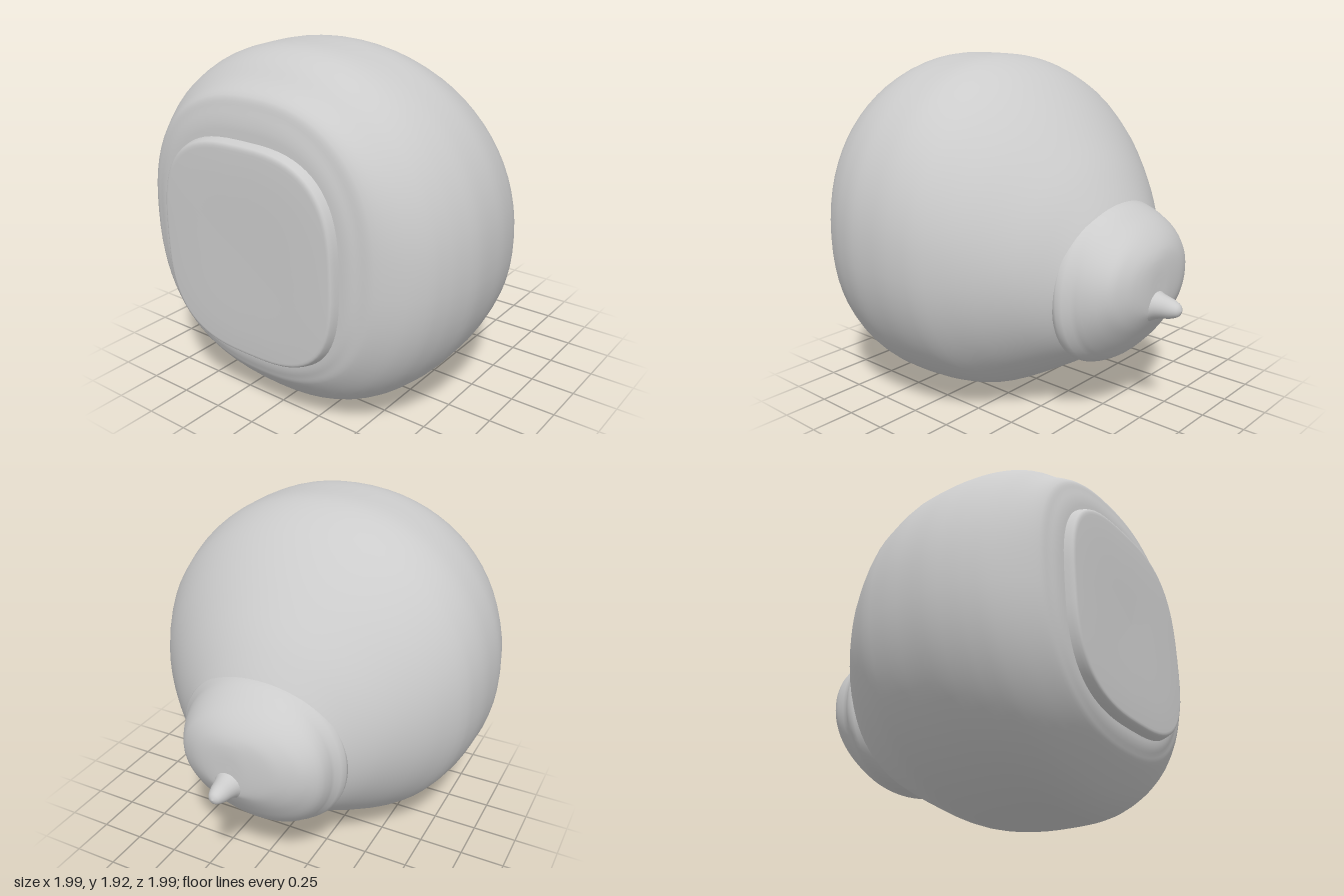
import * as THREE from 'three';

const SIDES = 72;
const material = new THREE.MeshStandardMaterial({ color: 0xcccccc, roughness: 0.8 });

// Skins rounded cross-sections [z, top, bottom, halfWidth, centreX, squareness], front to back.
function loft(name, rows, steps) {
  const curveA = new THREE.CatmullRomCurve3(rows.map((r) => new THREE.Vector3(r[0], r[1], r[2])));
  const curveB = new THREE.CatmullRomCurve3(rows.map((r) => new THREE.Vector3(r[3], r[4], r[5])));
  const rings = (rows.length - 1) * steps;
  const positions = [];
  const indices = [];
  const soft = (v, n) => Math.sign(v) * Math.abs(v) ** (2 / n);
  for (let i = 0; i <= rings; i++) {
    const { x: z, y: top, z: bottom } = curveA.getPoint(i / rings);
    const { x: half, y: cx, z: square } = curveB.getPoint(i / rings);
    for (let j = 0; j < SIDES; j++) {
      const a = (j / SIDES) * Math.PI * 2;
      positions.push(
        cx + half * soft(Math.cos(a), square),
        (top + bottom) / 2 + ((top - bottom) / 2) * soft(Math.sin(a), square),
        z
      );
      if (i === rings) continue;
      const p = i * SIDES + j;
      const q = i * SIDES + ((j + 1) % SIDES);
      indices.push(p, p + SIDES, q, q, p + SIDES, q + SIDES);
    }
  }
  const geometry = new THREE.BufferGeometry();
  geometry.setAttribute('position', new THREE.Float32BufferAttribute(positions, 3));
  geometry.setIndex(indices);
  geometry.computeVertexNormals();
  const mesh = new THREE.Mesh(geometry, material);
  mesh.name = name;
  return mesh;
}

export function createModel() {
  const group = new THREE.Group();
  group.name = 'roundBody';

  // Bulbous body, stepped at the front and closing behind the rear bulge
  group.add(loft('body', [
    [0.93, 0.95, 0.95, 0, -0.02, 2.5],
    [0.93, 1.57, 0.36, 0.58, -0.02, 2.5],
    [0.91, 1.67, 0.29, 0.66, -0.02, 2.4],
    [0.89, 1.73, 0.25, 0.72, -0.01, 2.35],
    [0.8, 1.79, 0.15, 0.83, 0, 2.25],
    [0.7, 1.87, 0.07, 0.91, 0, 2.15],
    [0.58, 1.92, 0.02, 0.96, 0, 2.1],
    [0.4, 1.93, 0.01, 0.995, 0, 2.1],
    [0.2, 1.92, 0.02, 0.99, 0, 2.1],
    [0, 1.84, 0.06, 0.95, 0, 2.1],
    [-0.2, 1.69, 0.16, 0.83, 0, 2.05],
    [-0.4, 1.48, 0.28, 0.64, 0, 2],
    [-0.52, 1.32, 0.36, 0.49, 0, 2],
    [-0.64, 1.1, 0.48, 0.32, 0, 2],
    [-0.7, 0.8, 0.8, 0, 0, 2]
  ], 4));

  // Blunt bulge low on the back
  group.add(loft('rearBulge', [
    [-0.3, 1.15, 0.36, 0.38, -0.01, 2.1],
    [-0.48, 1.21, 0.31, 0.45, -0.01, 2.1],
    [-0.6, 1.2, 0.34, 0.45, -0.01, 2.1],
    [-0.7, 1.14, 0.43, 0.42, -0.02, 2.1],
    [-0.78, 1.07, 0.54, 0.35, -0.01, 2.1],
    [-0.83, 1, 0.62, 0.24, 0, 2.1],
    [-0.85, 0.94, 0.66, 0.13, 0.02, 2],
    [-0.855, 0.8, 0.8, 0, 0.02, 2]
  ], 4));

  // Raised flat panel on the front
  group.add(loft('frontPanel', [
    [0.98, 0.94, 0.94, 0, -0.02, 2.9],
    [0.98, 1.48, 0.41, 0.53, -0.02, 2.9],
    [0.97, 1.51, 0.39, 0.55, -0.02, 2.9],
    [0.91, 1.53, 0.37, 0.565, -0.02, 2.9]
  ], 3));

  // Small pointed tip on the bulge
  const profile = [[0.1, 0], [0.075, 0.04], [0.062, 0.08], [0.05, 0.13], [0.03, 0.17], [0, 0.185]]
    .map(([r, h]) => new THREE.Vector2(r, h));
  const tip = new THREE.Mesh(new THREE.LatheGeometry(new THREE.SplineCurve(profile).getPoints(20), 24), material);
  tip.name = 'tip';
  tip.rotation.x = -Math.PI / 2;
  tip.position.set(0.03, 0.705, -0.815);
  group.add(tip);

  return group;
}
